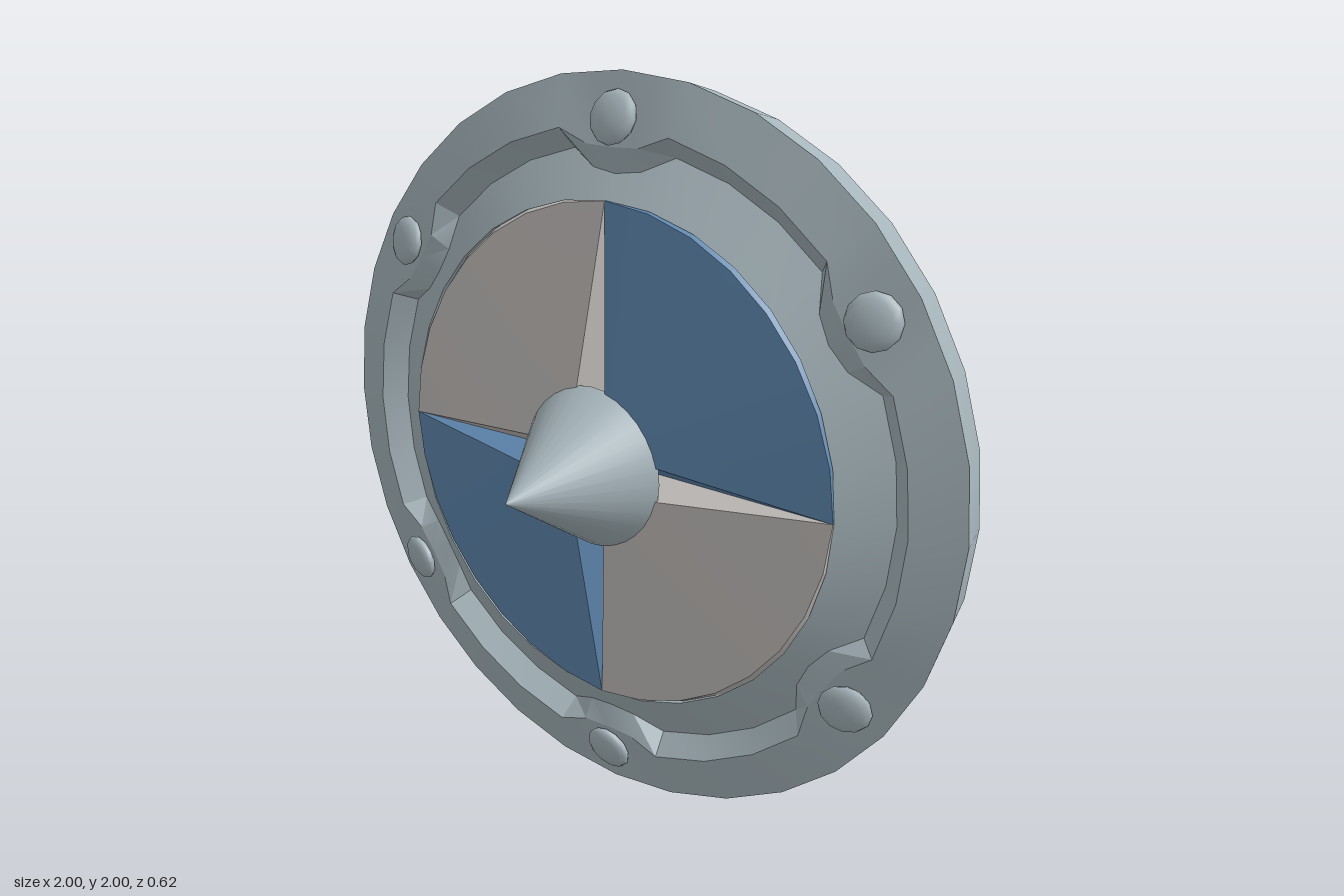
import * as THREE from 'three';
import { toCreasedNormals } from 'three/addons/utils/BufferGeometryUtils.js';

const STEP = Math.PI / 16; // 32-sided shield
const TAB_STEPS = [3, 8, 13, 19, 24, 29]; // rim steps that carry a rivet tab

const steel = new THREE.MeshStandardMaterial({ color: 0xa6b5bb });
const pale = new THREE.MeshStandardMaterial({ color: 0xc4c0bd });
const blue = new THREE.MeshStandardMaterial({ color: 0x5f88b0 });

const polar = (r, a, z) => [r * Math.cos(a), r * Math.sin(a), z];

function fromTriangles(triangles, crease) {
  const g = new THREE.BufferGeometry();
  g.setAttribute('position', new THREE.Float32BufferAttribute(triangles.flat(2), 3));
  return toCreasedNormals(g, crease);
}

// Rim: a closed cross-section swept round, its inner wall stepping in at the tabs
function rimGeometry() {
  const sections = [];
  for (let h = 0; h < 64; h++) {
    const odd = h % 2 === 1;
    const distance = Math.min(...TAB_STEPS.map((t) => Math.abs(h - 2 * t)));
    if (odd && distance !== 1) continue;
    const onTab = distance <= 1;
    const k = odd ? Math.cos(STEP / 2) : 1; // keeps half steps on the chord
    const wallTop = onTab ? (odd ? 0.825 : 0.818) : 0.87;
    const wallFoot = onTab ? (odd ? 0.765 : 0.752) : 0.815;
    const a = h * STEP / 2;
    sections.push([
      [1 * k, -0.15], [0.97 * k, -0.275], [0.84 * k, -0.31], [0.82 * k, -0.25],
      [0.69 * k, -0.2], [0.69 * k, -0.085],
      [wallFoot, -0.085 - (wallFoot - 0.69) * 0.6], [wallTop, -0.108],
    ].map(([r, z]) => polar(r, a, z)));
  }
  const tris = [];
  sections.forEach((s, i) => {
    const n = sections[(i + 1) % sections.length];
    s.forEach((p, j) => {
      const m = (j + 1) % s.length;
      tris.push([p, s[m], n[m]], [p, n[m], n[j]]);
    });
  });
  return fromTriangles(tris, 0.4);
}

// Quarter panel: rises to the middle, with walls sloping into the cross-shaped valleys
function panelGeometry() {
  const apex = [0.06, 0.06, -0.007];
  const centre = [0, 0, -0.1];
  const top = [], foot = [];
  for (let i = 0; i <= 8; i++) {
    const a = i * STEP;
    top.push(polar(0.69 - 0.012 * Math.sin(2 * a), a, -0.08));
    foot.push(polar(0.69, a, -0.1));
  }
  const tris = [[centre, top[0], apex], [apex, top[8], centre]];
  for (let i = 0; i < 8; i++) {
    tris.push([apex, top[i], top[i + 1]]);
    tris.push([top[i], foot[i], foot[i + 1]], [top[i], foot[i + 1], top[i + 1]]);
  }
  return fromTriangles(tris, 0.2);
}

export function createModel() {
  const model = new THREE.Group();
  model.name = 'roundShield';
  const shield = new THREE.Group();
  shield.name = 'shieldBody';
  shield.position.y = 1;
  model.add(shield);

  const add = (name, geometry, material) => {
    const mesh = new THREE.Mesh(geometry, material);
    mesh.name = name;
    shield.add(mesh);
    return mesh;
  };

  add('rim', rimGeometry(), steel);

  // Recessed backing board
  const back = add('backBoard', new THREE.CircleGeometry(0.82, 32), blue);
  back.rotation.y = Math.PI;
  back.position.z = -0.25;

  // Four front panels in alternating colours
  const panel = panelGeometry();
  for (let i = 0; i < 4; i++) {
    add('frontPanel', panel, i % 2 ? pale : blue).rotation.z = i * Math.PI / 2;
  }

  // Pointed centre boss
  const boss = add('boss', new THREE.ConeGeometry(0.22, 0.34, 32).rotateX(Math.PI / 2), steel);
  boss.position.z = 0.14;

  // Flattened rivets, tilted to lie along the sloping rim
  const rivet = new THREE.SphereGeometry(0.07, 12, 8)
    .rotateX(Math.PI / 2).scale(1, 1, 0.36).rotateY(0.3).translate(0.89, 0, -0.112);
  for (const t of TAB_STEPS) add('rivet', rivet, steel).rotation.z = t * STEP;

  return model;
}
